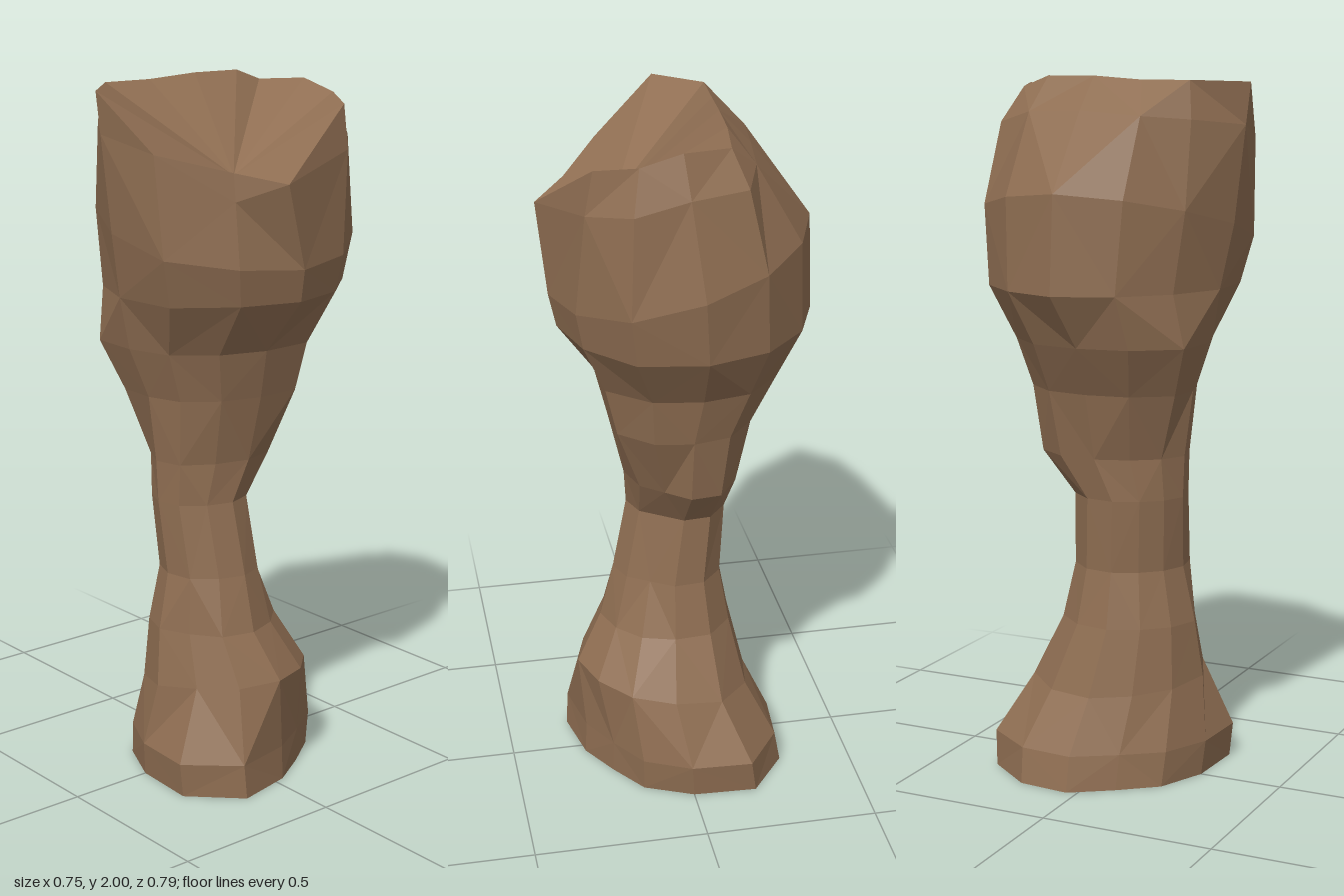
import * as THREE from 'three';

const SIDES = 12;
const rock = new THREE.MeshStandardMaterial({ color: 0x8f6e52, side: THREE.DoubleSide });
rock.name = 'brown rock';

// outline irregularity for each side, starting at +x and turning towards +z
const FOOT = [0.91, 1.18, 1.22, 1.02, 0.92, 0.84, 0.98, 1.08, 1.19, 1, 0.9, 0.8];
const DENT = [1, 1, 0.92, 1, 0.95, 0.92, 1, 1.06, 1.1, 1, 0.98, 0.96];
const NECK = [1, 0.98, 1.04, 1, 0.94, 0.92, 1, 1.07, 1.1, 1, 0.84, 0.94];
const JAW = [1, 0.97, 1, 1, 1.13, 1.06, 1, 1.04, 1.04, 1, 1.06, 1.12];
const HEAD = [1, 0.99, 1.09, 1, 0.93, 0.94, 1, 0.95, 0.97, 1, 1.05, 1];

// cross-sections: height, tilt along x, x range, z range, outline
const LEVELS = [
  [0.0, 0, -0.31, 0.31, -0.31, 0.25, FOOT],
  [0.1, 0, -0.29, 0.305, -0.32, 0.26, FOOT],
  [0.28, 0.12, -0.21, 0.295, -0.25, 0.24, DENT],
  [0.45, 0, -0.165, 0.22, -0.16, 0.22, DENT],
  [0.61, 0, -0.135, 0.18, -0.125, 0.185, NECK],
  [0.82, 0, -0.148, 0.137, -0.115, 0.195, NECK],
  [0.94, 0, -0.165, 0.15, -0.215, 0.2, NECK],
  [1.13, 0, -0.21, 0.195, -0.25, 0.225, JAW],
  [1.27, 0, -0.285, 0.23, -0.28, 0.275, JAW],
  [1.42, 0, -0.38, 0.335, -0.375, 0.31, HEAD],
  [1.6, -0.25, -0.372, 0.355, -0.398, 0.345, HEAD],
];

// slanted rim at the top, and the low point of the hollow inside it
const RIM = [
  [0.375, 1.75, 0.05], [0.28, 1.78, 0.16], [0.165, 1.83, 0.335], [-0.01, 1.985, 0.39],
  [-0.135, 1.99, 0.265], [-0.127, 1.99, 0.12], [-0.115, 2, -0.03], [-0.105, 2, -0.175],
  [-0.1, 1.97, -0.255], [0.035, 1.98, -0.305], [0.15, 1.95, -0.31], [0.26, 1.93, -0.25],
];
const HOLLOW = [0.155, 1.75, 0.055];
// outward swell of the head just below the rim
const SWELL = [1, 1, 1, 1, 1.04, 1.27, 1.05, 1.08, 1.1, 1.05, 1.07, 1.03];

function ring([y, tilt, x0, x1, z0, z1, outline]) {
  return outline.map((f, i) => {
    const a = (i / SIDES) * Math.PI * 2;
    const x = (x0 + x1) / 2 + Math.cos(a) * f * (x1 - x0) / 2;
    const z = (z0 + z1) / 2 + Math.sin(a) * f * (z1 - z0) / 2;
    return [x, y + tilt * x, z];
  });
}

// ring partway from the widest section to the rim
function shoulder(lower) {
  return SWELL.map((s, i) => {
    const [x, y, z] = lower[i].map((v, k) => THREE.MathUtils.lerp(v, RIM[i][k], 0.7));
    return [x * s, y, z * s];
  });
}

// separate triangles give faceted normals
function facetMesh(name, triangles) {
  const geometry = new THREE.BufferGeometry();
  geometry.setAttribute('position', new THREE.Float32BufferAttribute(triangles.flat(2), 3));
  geometry.computeVertexNormals();
  const mesh = new THREE.Mesh(geometry, rock);
  mesh.name = name;
  return mesh;
}

function wall(rings) {
  const triangles = [];
  for (let j = 0; j < rings.length - 1; j++) {
    for (let i = 0; i < SIDES; i++) {
      const k = (i + 1) % SIDES;
      const a = rings[j][i], b = rings[j][k], c = rings[j + 1][k], d = rings[j + 1][i];
      // alternate the diagonals for a chipped look
      if ((i + j) % 2) triangles.push([a, d, b], [b, d, c]);
      else triangles.push([a, d, c], [a, c, b]);
    }
  }
  return triangles;
}

export function createModel() {
  const group = new THREE.Group();
  group.name = 'rockPillar';
  const body = LEVELS.map(ring);
  const rings = [...body, shoulder(body.at(-1)), RIM];

  // spreading foot, open underneath
  group.add(facetMesh('foot', wall(rings.slice(0, 5))));
  // narrow neck
  group.add(facetMesh('neck', wall(rings.slice(4, 9))));
  // bulky head
  group.add(facetMesh('head', wall(rings.slice(8))));
  // sunken top
  const top = RIM.map((p, i) => [HOLLOW, RIM[(i + 1) % SIDES], p]);
  group.add(facetMesh('top', top));
  return group;
}
